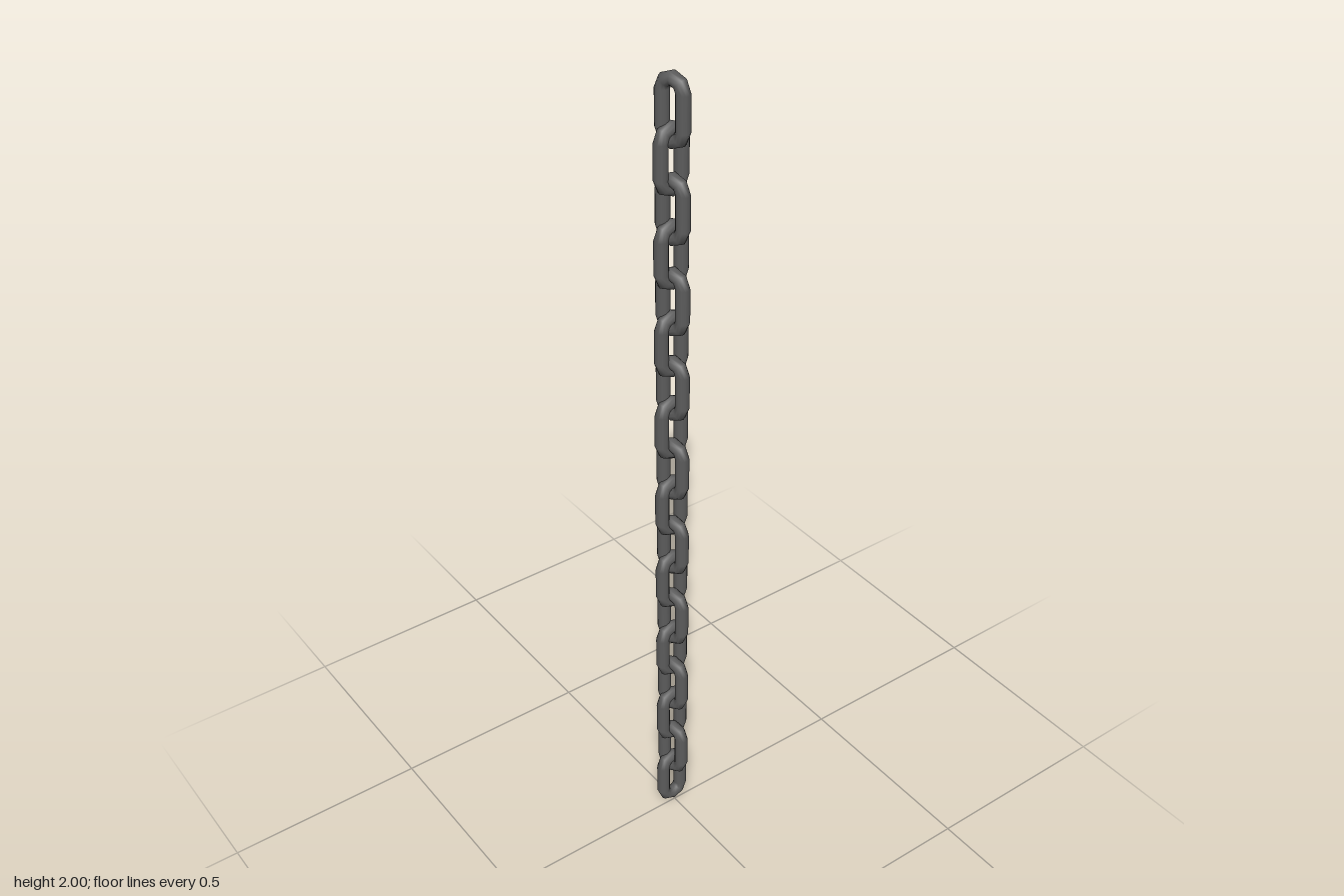
import * as THREE from 'three';

const COUNT = 18;          // links in the chain
const RADIUS = 0.0265;     // centreline radius of the rounded ends
const WIRE = 0.0163;       // wire radius
const HALF = 0.04;         // half length of the straight sides
const LENGTH = 2 * (RADIUS + WIRE + HALF);

// One oval link: a torus whose halves are pulled apart along y
function linkGeometry() {
  const steps = 10, sides = 12;
  const geo = new THREE.TorusGeometry(RADIUS, WIRE, sides, steps);
  const pos = geo.attributes.position, nor = geo.attributes.normal;
  for (let i = 0; i < pos.count; i++) {
    const j = (i % (steps + 1)) % steps;
    const upper = j < 5;
    const a = (upper ? j : j - 1) * Math.PI / 4;
    const r = Math.hypot(pos.getX(i), pos.getY(i)), z = pos.getZ(i);
    const c = Math.cos(a), s = Math.sin(a), out = (r - RADIUS) / WIRE;
    pos.setXYZ(i, r * c, r * s + (upper ? HALF : -HALF), z);
    nor.setXYZ(i, out * c, out * s, z / WIRE);
  }
  return geo;
}

export function createModel() {
  const group = new THREE.Group();
  group.name = 'chain';
  const steel = new THREE.MeshStandardMaterial({ color: 0x5c5c5c });
  steel.name = 'dark steel';
  const geo = linkGeometry();
  const pitch = (2 - LENGTH) / (COUNT - 1);

  // Links alternate between facing the front and facing the side
  for (let i = 0; i < COUNT; i++) {
    const facing = i % 2 === 0;
    const link = new THREE.Mesh(geo, steel);
    link.name = facing ? 'frontFacingLink' : 'sideFacingLink';
    link.position.set(facing ? -0.001 : -0.004, LENGTH / 2 + i * pitch, facing ? -0.011 : -0.002);
    link.rotation.y = facing ? 0.02 : -1.3;
    group.add(link);
  }
  return group;
}
